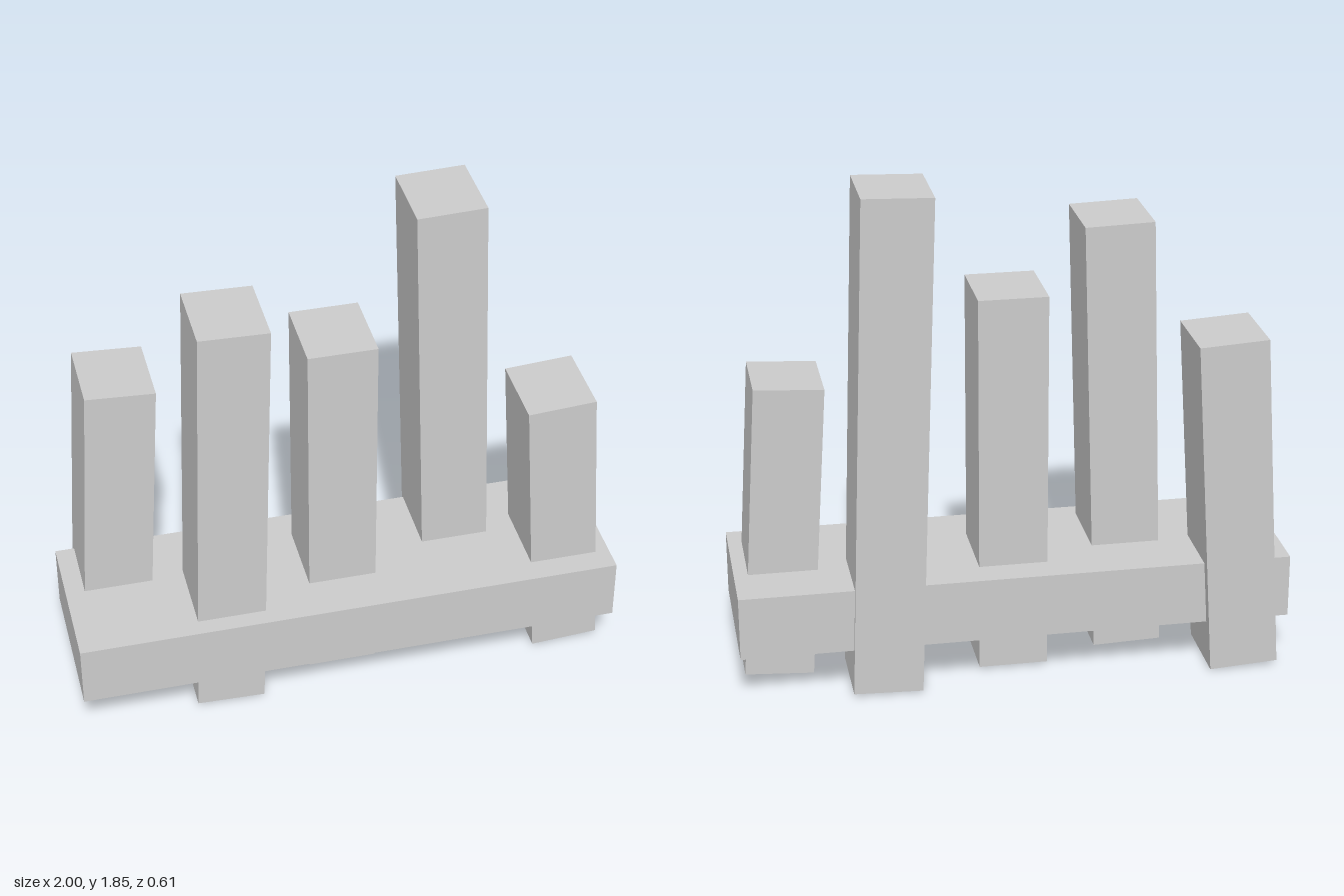
import * as THREE from 'three';

const POST_WIDTH = 0.25;
const POST_DEPTH = 0.288;

// Leaning post between the centres of its bottom and top faces
function makePost(material, [x0, y0], [x1, y1], z) {
  const dx = x1 - x0, dy = y1 - y0;
  const post = new THREE.Mesh(
    new THREE.BoxGeometry(POST_WIDTH, Math.hypot(dx, dy), POST_DEPTH), material);
  post.position.set((x0 + x1) / 2, (y0 + y1) / 2, z);
  post.rotation.z = -Math.atan2(dx, dy);
  return post;
}

export function createModel() {
  const model = new THREE.Group();
  model.name = 'postFence';
  const material = new THREE.MeshStandardMaterial({ color: 0xcccccc, flatShading: true });

  // Thick horizontal rail the posts pass through
  const rail = new THREE.Mesh(new THREE.BoxGeometry(2, 0.235, 0.575), material);
  rail.name = 'rail';
  rail.position.set(0, 0.3, 0.018);
  model.add(rail);

  // Posts of uneven height, each leaning a little towards the middle
  const posts = [
    { bottom: [-0.829, 0.013], top: [-0.753, 1.27], z: -0.165 },
    { bottom: [-0.449, 0.011], top: [-0.398, 1.641], z: 0.096 },
    { bottom: [0, 0.013], top: [0, 1.43], z: -0.011 },
    { bottom: [0.477, 0.011], top: [0.414, 1.852], z: -0.141 },
    { bottom: [0.849, 0.012], top: [0.78, 1.115], z: 0.07 },
  ];
  posts.forEach(({ bottom, top, z }, i) => {
    const post = makePost(material, bottom, top, z);
    post.name = `post${i + 1}`;
    model.add(post);
  });

  return model;
}
